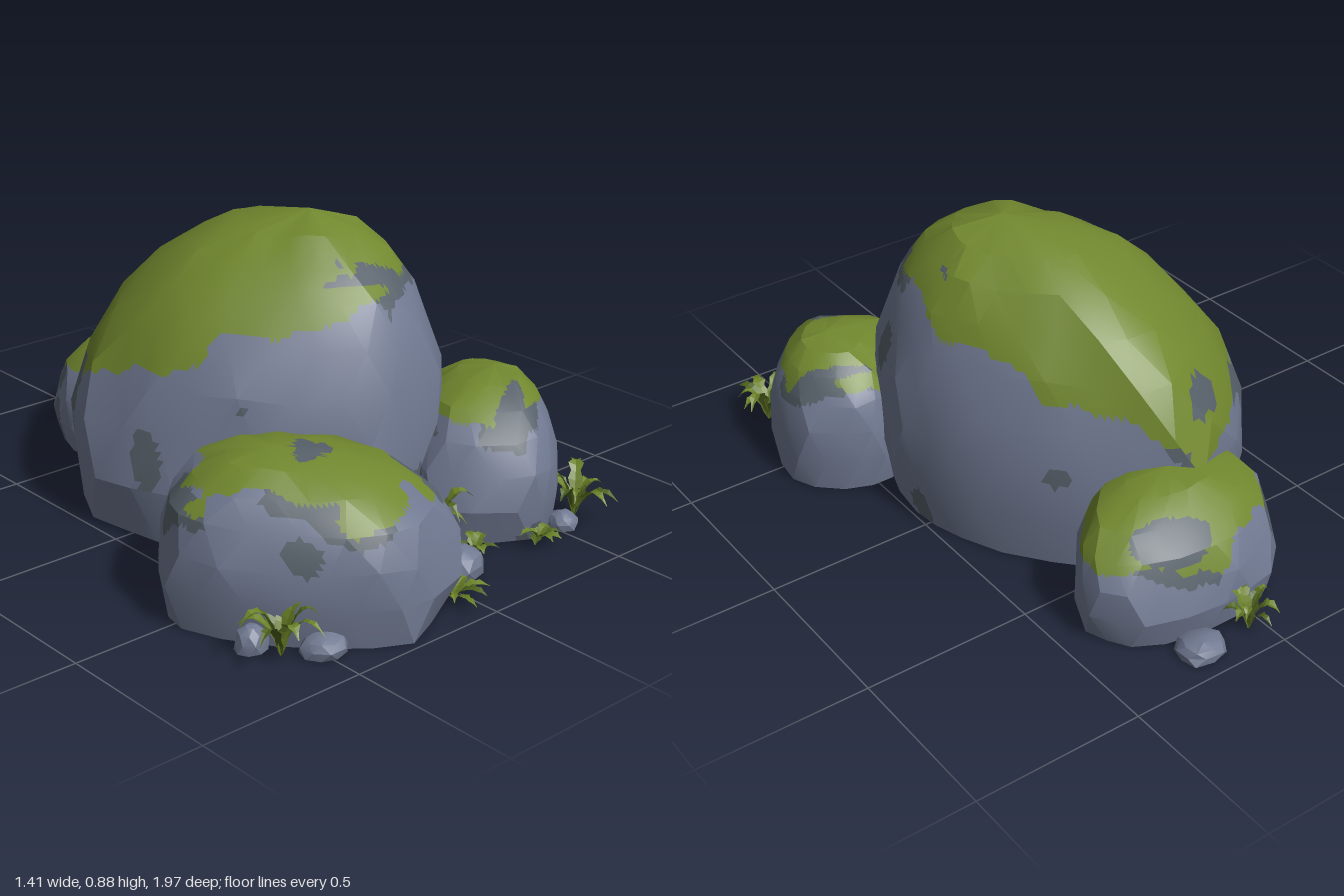
import * as THREE from 'three';
import { toCreasedNormals } from 'three/addons/utils/BufferGeometryUtils.js';

const mat = (name, color, side = THREE.FrontSide) => {
  const m = new THREE.MeshStandardMaterial({ color, side });
  m.name = name;
  return m;
};

function seeded(seed) {
  return () => {
    seed = (seed * 16807) % 2147483647;
    return seed / 2147483647;
  };
}

// Smooth wavy field in about -1..1, used for the ragged moss border
const wave = (x, y, z, f) =>
  (Math.sin(f * x + 1.3 + 2 * Math.sin(f * 0.6 * z)) + Math.sin(f * z + 0.4 + 2 * Math.sin(f * 0.7 * y)) +
    Math.sin(f * 1.1 * y + 2.1 + 2 * Math.sin(f * 0.5 * x))) / 3;

// Boulder: the plan outline rises in rings and closes on the apex.
// A higher fullness keeps that side (-x, +x, -z, +z) steep for longer.
function boulderGeometry({ plan, apex, fullness, sides, ringCount, rough, seed }) {
  const rand = seeded(seed);
  const curve = new THREE.CatmullRomCurve3(plan.map(([x, z]) => new THREE.Vector3(x, 0, z)), true);
  const pos = [], index = [];
  for (let i = 0; i < ringCount; i++) {
    const t = Math.sin(1.25 * i / (ringCount - 1));
    const foot = 1 - 0.07 * Math.max(0, 1 - t * 5);
    for (let j = 0; j < sides; j++) {
      const p = curve.getPoint((j + (i % 2) * 0.5) / sides);
      const k = foot * (1 + (rand() - 0.6) * rough);
      const draw = (d, low, high) => d * k * Math.pow(1 - Math.pow(t, d < 0 ? low : high), 0.55);
      pos.push(apex[0] + draw(p.x - apex[0], fullness[0], fullness[1]),
        i ? apex[1] * (t + (rand() - 0.5) * rough * 0.4) : 0,
        apex[2] + draw(p.z - apex[2], fullness[2], fullness[3]));
    }
  }
  const top = ringCount * sides, last = top - sides;
  pos.push(...apex, apex[0], 0, apex[2]);
  for (let j = 0; j < sides; j++) {
    const n = (j + 1) % sides;
    for (let i = 0; i < ringCount - 1; i++) {
      const a = i * sides + j, b = i * sides + n, c = a + sides, d = b + sides;
      if (i % 2) index.push(a, d, b, a, c, d);
      else index.push(a, c, b, b, c, d);
    }
    index.push(last + j, top, last + n, top + 1, j, n);
  }
  const g = new THREE.BufferGeometry();
  g.setAttribute('position', new THREE.Float32BufferAttribute(pos, 3));
  g.setIndex(index);
  return toCreasedNormals(g, 0.36);
}

// Splits every facet into small flat triangles and sorts them into rock, moss and damp groups
function paint(g, pick, cuts) {
  const P = g.attributes.position, N = g.attributes.normal;
  const buckets = [[], [], []];
  for (let f = 0; f < P.count; f += 3) {
    const v = [0, 1, 2].map(k => new THREE.Vector3().fromBufferAttribute(P, f + k));
    const n = [0, 1, 2].map(k => new THREE.Vector3().fromBufferAttribute(N, f + k));
    const mix = (s, a, b) => s[0].clone().multiplyScalar(1 - (a + b) / cuts)
      .addScaledVector(s[1], a / cuts).addScaledVector(s[2], b / cuts);
    const add = corners => {
      const ps = corners.map(([a, b]) => mix(v, a, b));
      const c = ps[0].clone().add(ps[1]).add(ps[2]).divideScalar(3);
      const bucket = buckets[n[0].y < -0.9 ? 0 : pick(c)];
      corners.forEach(([a, b], k) => bucket.push([ps[k], mix(n, a, b).normalize()]));
    };
    for (let a = 0; a < cuts; a++) for (let b = 0; a + b < cuts; b++) {
      add([[a, b], [a + 1, b], [a, b + 1]]);
      if (a + b < cuts - 1) add([[a + 1, b], [a + 1, b + 1], [a, b + 1]]);
    }
  }
  const out = new THREE.BufferGeometry(), all = buckets.flat();
  out.setAttribute('position', new THREE.Float32BufferAttribute(all.flatMap(e => e[0].toArray()), 3));
  out.setAttribute('normal', new THREE.Float32BufferAttribute(all.flatMap(e => e[1].toArray()), 3));
  let start = 0;
  buckets.forEach((b, i) => { out.addGroup(start, b.length, i); start += b.length; });
  return out;
}

// Arching leaf with a toothed edge and a folded midrib
function leafGeometry(len, height, width) {
  const steps = 9, pos = [], index = [];
  for (let i = 0; i <= steps; i++) {
    const t = i / steps;
    const w = width * Math.pow(Math.sin(Math.PI * (0.06 + 0.93 * t)), 0.8) * (i % 2 ? 1 : 0.6);
    const y = 0.005 + height * Math.sin(Math.PI * 0.72 * t), x = len * Math.pow(t, 1.2);
    pos.push(x, y + w * 0.35, -w, x, y, 0, x, y + w * 0.35, w);
    if (i < steps) for (const k of [0, 1]) {
      const a = i * 3 + k;
      index.push(a, a + 1, a + 3, a + 1, a + 4, a + 3);
    }
  }
  const g = new THREE.BufferGeometry();
  g.setAttribute('position', new THREE.Float32BufferAttribute(pos, 3));
  g.setIndex(index);
  const flat = g.toNonIndexed();
  flat.computeVertexNormals();
  return flat;
}

export function createModel() {
  const model = new THREE.Group();
  model.name = 'mossyBoulders';
  const rock = mat('rock', 0x6f7890), moss = mat('moss', 0x71872e), damp = mat('dampRock', 0x566069);
  const leaves = [mat('leaf', 0x6c8228, THREE.DoubleSide), mat('darkLeaf', 0x4f641f, THREE.DoubleSide)];

  // Boulder with moss above a sloping, ragged limit and damp patches along it
  const addBoulder = (name, limit, shape) => {
    const pick = p => {
      const edge = p.y - limit(p) + 0.055 * wave(p.x, p.y, p.z, 17) + 0.025 * wave(p.z, p.x, p.y, 41);
      const spot = wave(p.y + 0.5, p.z, p.x, 15);
      if (edge > 0) return edge < 0.12 && spot > 0.55 ? 2 : 1;
      return (edge > -0.05 && spot > 0.1) || spot > 0.72 ? 2 : 0;
    };
    const mesh = new THREE.Mesh(paint(boulderGeometry({ ...shape, rough: 0.06 }), pick, 6), [rock, moss, damp]);
    mesh.name = name;
    model.add(mesh);
  };
  addBoulder('mainBoulder', p => 0.56 + 0.25 * p.x + 0.25 * p.z, {
    plan: [[-0.02, -0.64], [0.26, -0.46], [0.47, -0.14], [0.52, 0.1], [0.39, 0.43], [0.1, 0.55], [-0.25, 0.37],
      [-0.47, 0.08], [-0.48, -0.25]],
    apex: [0.15, 0.875, 0.09], fullness: [2.1, 3.5, 3, 3.3], sides: 22, ringCount: 8, seed: 71 });
  addBoulder('frontRightBoulder', p => 0.29 + 0.06 * (p.z - p.x), {
    plan: [[-0.45, 0.23], [-0.12, 0.33], [0.08, 0.6], [0.02, 0.85], [-0.28, 1], [-0.53, 0.83], [-0.71, 0.53],
      [-0.62, 0.35]],
    apex: [-0.4, 0.445, 0.56], fullness: [4, 3.3, 4.5, 3.7], sides: 20, ringCount: 6, seed: 305 });
  addBoulder('frontLeftBoulder', p => 0.27 + 0.1 * p.z, {
    plan: [[0.52, 0.23], [0.69, 0.36], [0.69, 0.56], [0.55, 0.73], [0.38, 0.79], [0.17, 0.62], [0.2, 0.44],
      [0.36, 0.28]],
    apex: [0.52, 0.425, 0.49], fullness: [3.4, 3.6, 4.5, 3.4], sides: 18, ringCount: 6, seed: 1234 });
  addBoulder('backBoulder', () => 0.235, {
    plan: [[-0.25, -0.6], [-0.1, -0.83], [0.1, -0.88], [0.36, -0.81], [0.43, -0.66], [0.28, -0.46], [0.02, -0.4],
      [-0.2, -0.46]],
    apex: [0.08, 0.365, -0.58], fullness: [4.5, 5, 2.7, 6], sides: 18, ringCount: 6, seed: 4321 });

  // Loose stones around the foot: x, z, half width, height
  const stones = [[0.09, 0.78, 0.08, 0.08], [-0.49, 0.86, 0.07, 0.055], [-0.62, 0.73, 0.05, 0.07],
    [0.21, -0.9, 0.08, 0.05], [-0.42, 0.2, 0.05, 0.06], [0.53, 0.77, 0.05, 0.05]];
  stones.forEach(([x, z, w, h], i) => {
    const plan = Array.from({ length: 8 }, (_, k) =>
      [x + w * Math.cos(k * Math.PI / 4), z + 0.85 * w * Math.sin(k * Math.PI / 4)]);
    const mesh = new THREE.Mesh(boulderGeometry({ plan, apex: [x, h, z], fullness: [3, 3, 3, 3], sides: 8,
      ringCount: 4, rough: 0.2, seed: 900 + i * 77 }), rock);
    mesh.name = 'looseStone';
    model.add(mesh);
  });

  // Ferns: x, z, leaf count, reach, height
  const ferns = [[-0.59, 0.81, 9, 0.13, 0.15], [0.13, 0.63, 11, 0.13, 0.17], [0.6, 0.75, 10, 0.125, 0.15],
    [0.4, 0.79, 9, 0.08, 0.04], [-0.04, 0.88, 10, 0.1, 0.05], [0.19, 0.74, 6, 0.09, 0.05],
    [0.05, -0.91, 9, 0.09, 0.13]];
  ferns.forEach(([x, z, count, reach, height], i) => {
    const rand = seeded(500 + i * 131);
    const fern = new THREE.Group();
    fern.name = 'fern';
    fern.position.set(x, 0, z);
    for (let k = 0; k < count; k++) {
      const leaf = new THREE.Mesh(
        leafGeometry(reach * (0.7 + 0.35 * rand()), height * (0.55 + 0.45 * rand()), 0.012 + 0.013 * rand()),
        leaves[k % 3 === 2 ? 1 : 0]);
      leaf.name = 'fernLeaf';
      leaf.rotation.y = 2 * Math.PI * (k + 0.4 * rand()) / count;
      fern.add(leaf);
    }
    model.add(fern);
  });
  return model;
}
